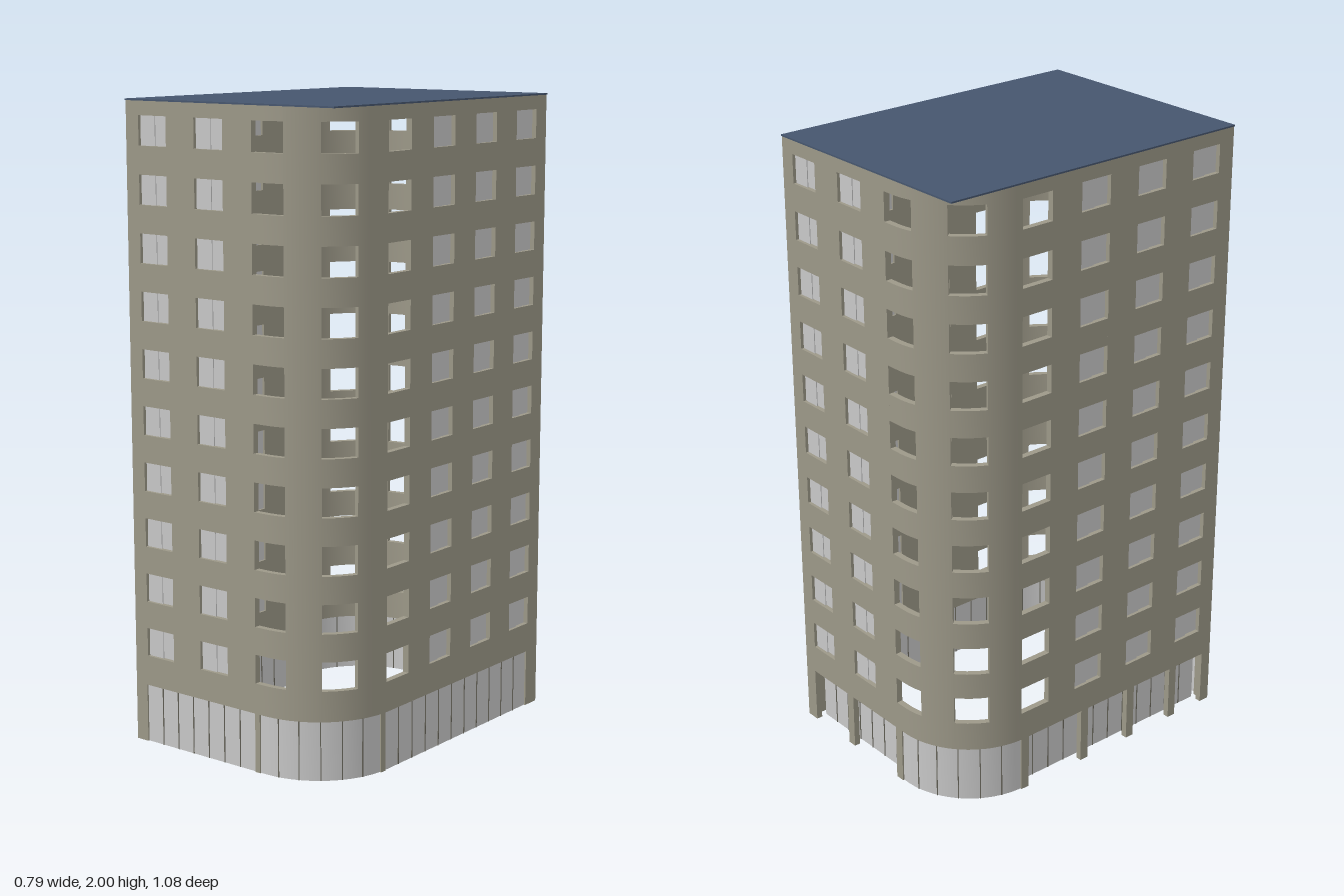
import * as THREE from 'three';
import { mergeGeometries, toCreasedNormals } from 'three/addons/utils/BufferGeometryUtils.js';

// Half of the outline: front wall, rounded corner, side wall. The other half is the same turned by 180 degrees.
const HX = 0.395, HZ = 0.54, R = 0.265;
const CX = HX - R, CZ = HZ - R;
const S1 = CX + HX;               // arc starts
const S2 = S1 + R * Math.PI / 2;  // arc ends
const S3 = S2 + CZ + HZ;          // end of the side wall
const T = 0.02;                   // wall thickness
const BASE = 0.185, TOP = 1.995;
const ROWS = 10, ROW0 = 0.28, ROW_STEP = 0.1758, WIN_H = 0.09;
const WIN_W = 0.11, COLS = 8;
const winCentre = (i) => 0.105 + 0.22 * i;

const wall = new THREE.MeshStandardMaterial({ color: 0x9c9888 });
wall.name = 'wall plaster';
const glass = new THREE.MeshStandardMaterial({ color: 0xc8c8c8 });
glass.name = 'pale glass';
const roofBlue = new THREE.MeshStandardMaterial({ color: 0x46566e });
roofBlue.name = 'roof blue';
const frame = new THREE.MeshStandardMaterial({ color: 0x6b695e });
frame.name = 'dark frame';

// Point on the outline at distance s, moved inward by d
function at(s, d) {
  if (s <= S1) return new THREE.Vector2(-HX + s, -(HZ - d));
  if (s >= S2) return new THREE.Vector2(HX - d, -(CZ - (s - S2)));
  const a = Math.PI / 2 - (s - S1) / R;
  return new THREE.Vector2(CX + (R - d) * Math.cos(a), -(CZ + (R - d) * Math.sin(a)));
}

// Upright slab that follows the outline from sA to sB, between depths dA and dB
function slab(sA, sB, y0, y1, dA, dB) {
  const steps = [sA];
  for (let i = 0; i <= 24; i++) {
    const s = S1 + (S2 - S1) * i / 24;
    if (s > sA + 1e-4 && s < sB - 1e-4) steps.push(s);
  }
  steps.push(sB);
  const pts = [...steps.map((s) => at(s, dA)), ...steps.reverse().map((s) => at(s, dB))];
  const g = new THREE.ExtrudeGeometry(new THREE.Shape(pts), { depth: y1 - y0, bevelEnabled: false });
  g.rotateX(-Math.PI / 2);
  g.translate(0, y0, 0);
  return g;
}

function addMesh(group, name, parts, material) {
  const mesh = new THREE.Mesh(toCreasedNormals(mergeGeometries(parts), 0.5), material);
  mesh.name = name;
  group.add(mesh);
}

// Upper wall with window openings, and sliding panes in the straight parts
function addUpperFloors(group) {
  const walls = [], panes = [];
  let s = T;
  for (let i = 0; i < COLS; i++) {
    const c = winCentre(i), a = c - WIN_W / 2, b = c + WIN_W / 2;
    walls.push(slab(s, a, BASE, TOP, 0, T)); // pier
    s = b;
    let y = BASE;
    for (let r = 0; r < ROWS; r++) {
      const w0 = ROW0 + r * ROW_STEP;
      walls.push(slab(a, b, y, w0, 0, T)); // spandrel
      y = w0 + WIN_H;
      if (i < 2 || i > 4) { // openings round the corner stay empty
        panes.push(slab(a, c + 0.002, w0, y, 0.010, 0.013));
        panes.push(slab(c - 0.002, b, w0, y, 0.015, 0.018));
      }
    }
    walls.push(slab(a, b, y, TOP, 0, T));
  }
  walls.push(slab(s, S3, BASE, TOP, 0, T));
  addMesh(group, 'upperWall', walls, wall);
  addMesh(group, 'windowPanes', panes, glass);
}

// Ground floor: pillars, and shop glazing with thin mullions
function addGroundFloor(group, pillars, glazing) {
  addMesh(group, 'groundPillars', pillars.map(([a, b]) => slab(a, b, 0, BASE, 0, T)), wall);
  const panes = [], bars = [];
  for (const [a, b, d] of glazing) {
    panes.push(slab(a, b, 0, BASE, d, d + 0.004));
    const n = Math.round((b - a) / 0.067);
    for (let i = 1; i < n; i++) {
      const m = a + (b - a) * i / n;
      bars.push(slab(m - 0.0015, m + 0.0015, 0, BASE, d - 0.002, d + 0.006));
    }
  }
  addMesh(group, 'shopGlazing', panes, glass);
  addMesh(group, 'shopMullions', bars, frame);
}

export function createModel() {
  const model = new THREE.Group();
  model.name = 'towerBlock';

  const frontHalf = new THREE.Group();
  frontHalf.name = 'frontHalf';
  addUpperFloors(frontHalf);
  addGroundFloor(frontHalf,
    [[T, 0.045], [0.487, 0.505], [0.906, 0.926], [1.695, S3]],
    [[0.045, 0.487, 0.005], [0.505, 0.906, 0.005], [0.926, 1.695, 0.005]]);

  // Back half has free pillars in front of set-back glazing
  const backHalf = new THREE.Group();
  backHalf.name = 'backHalf';
  addUpperFloors(backHalf);
  addGroundFloor(backHalf,
    [[T, 0.045], [0.225, 0.255], [0.48, 0.51], [0.93, 0.96], [1.18, 1.21], [1.38, 1.41], [1.57, 1.6], [1.72, S3]],
    [[0.04, 0.495, 0.04], [0.51, 0.93, 0.005], [0.945, 1.72, 0.04]]);
  backHalf.rotation.y = Math.PI;

  // Flat square-cornered roof overhanging the rounded corners
  const roof = new THREE.Mesh(new THREE.BoxGeometry(HX * 2 + 0.004, 0.005, HZ * 2 + 0.002), roofBlue);
  roof.name = 'roof';
  roof.position.y = 1.9975;

  model.add(frontHalf, backHalf, roof);
  return model;
}
